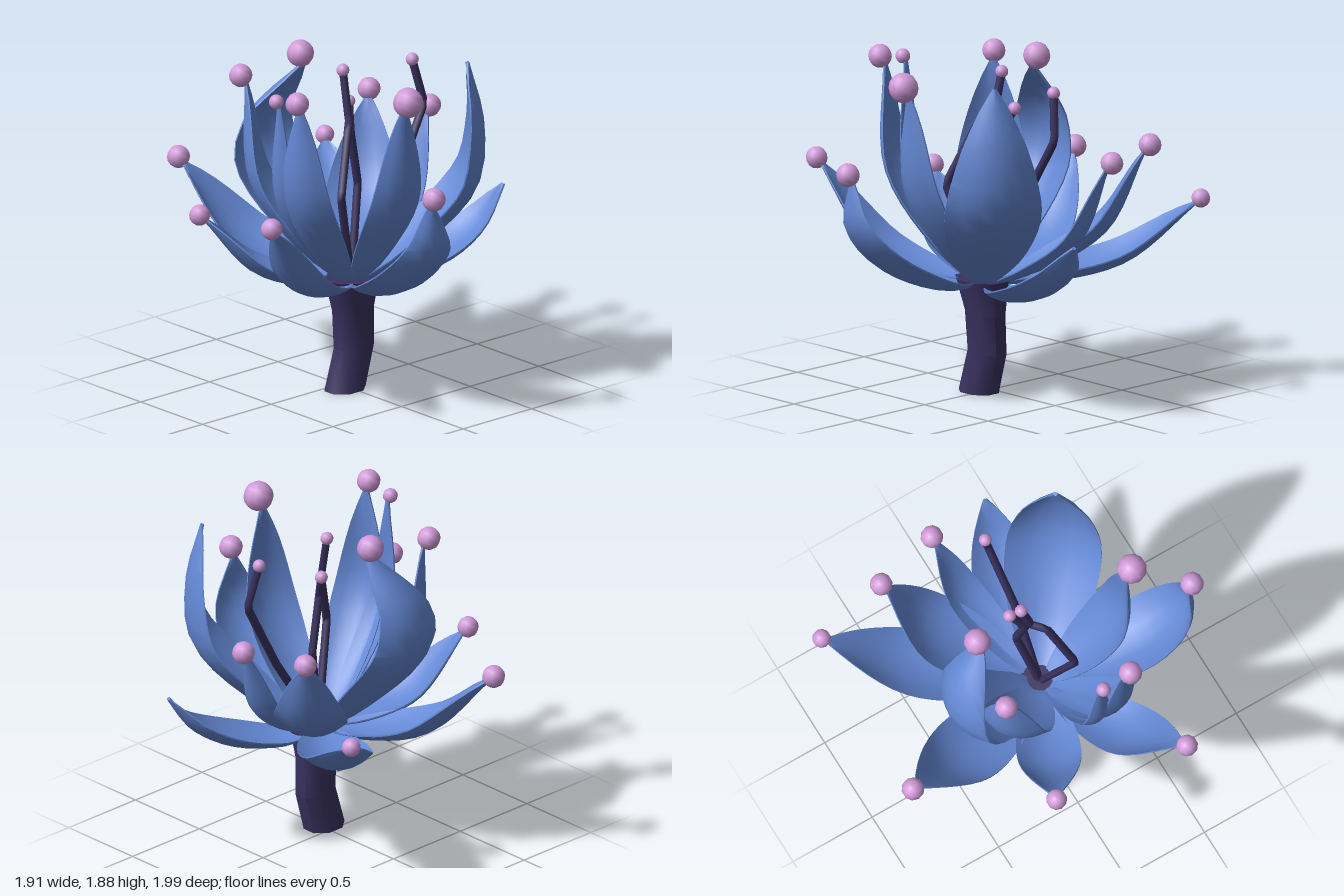
import * as THREE from 'three';
import { toCreasedNormals } from 'three/addons/utils/BufferGeometryUtils.js';

const blue = new THREE.MeshStandardMaterial({ color: 0x6488d4, side: THREE.DoubleSide });
const dark = new THREE.MeshStandardMaterial({ color: 0x3a3260 });
const pink = new THREE.MeshStandardMaterial({ color: 0xd09ad8 });
const heart = new THREE.Vector3(0.02, 0.6, 0.07);

// Skin a list of closed rings (counter-clockwise about the path) and cap both ends
function loft(rings) {
  const n = rings[0].length, last = rings.length - 1, index = [];
  const points = rings.flat();
  const middle = (ring) => ring.reduce((s, p) => s.add(p), new THREE.Vector3()).divideScalar(n);
  const a = points.push(middle(rings[0])) - 1;
  const b = points.push(middle(rings[last])) - 1;
  for (let j = 0; j < n; j++) {
    const k = (j + 1) % n;
    for (let i = 0; i < last; i++) {
      const p = i * n, q = p + n;
      index.push(p + j, p + k, q + j, p + k, q + k, q + j);
    }
    index.push(a, k, j, b, last * n + j, last * n + k);
  }
  const g = new THREE.BufferGeometry().setFromPoints(points);
  g.setIndex(index);
  return toCreasedNormals(g, 0.9);
}

// Cupped petal: a thin curved section swept from the heart to the tip.
// Bends are [outward share, height share, sideways shift] along the way.
function petalGeometry(tip, out, width, bends) {
  const across = new THREE.Vector3(out.z, 0, -out.x);
  const reach = Math.hypot(tip.x - heart.x, tip.z - heart.z);
  const curve = new THREE.CatmullRomCurve3([
    heart.clone().addScaledVector(out, 0.05),
    ...bends.map(([f, h, shift = 0]) => {
      const p = heart.clone().addScaledVector(out, f * reach).addScaledVector(across, shift);
      p.y += h * (tip.y - heart.y);
      return p;
    }),
    tip,
  ]);
  const columns = 6, rows = 14, rings = [];
  for (let i = 0; i <= rows; i++) {
    const u = i / rows;
    const centre = curve.getPointAt(u), t = curve.getTangentAt(u);
    const inward = t.clone().cross(across).normalize();
    const side = inward.clone().cross(t);
    const half = Math.max(0.012, width / 2 * (0.2 * (1 - u) + Math.sin(Math.PI * Math.min(u, 1)) ** 0.75));
    const point = (s, thick) => centre.clone().addScaledVector(side, s * half)
      .addScaledVector(inward, 0.43 * half * s * s + thick);
    const ring = [];
    for (let j = 0; j <= columns; j++) ring.push(point(j / columns * 2 - 1, 0));
    for (let j = columns; j >= 0; j--) {
      const s = j / columns * 2 - 1;
      ring.push(point(s, 0.008 + 0.014 * (1 - s * s)));
    }
    rings.push(ring);
  }
  return loft(rings);
}

// Petal families: shared bends, then each petal's end x, y, z, width and bead radius
const FAMILIES = [
  { name: 'spreadingPetal', bends: [[0.3, 0.02], [0.66, 0.25]], petals: [
    [-0.33, 1.14, -0.94, 0.38, 0.063], [0.7, 1.04, -0.9, 0.36, 0.052], [-0.76, 1.07, -0.29, 0.32, 0.058],
    [-0.9, 1.21, 0.45, 0.3, 0.06]] },
  { name: 'droopingPetal', bends: [[0.22, -0.1], [0.6, 0.1], [0.84, 0.46]], petals: [[0.95, 1, 0.28, 0.34, 0]] },
  { name: 'archedPetal', bends: [[0.34, 0.01], [0.8, 0.27], [1.02, 0.62]], petals: [[-0.15, 1.33, 0.93, 0.37, 0.065]] },
  { name: 'raisedPetal', bends: [[0.38, 0.13], [0.76, 0.41]], petals: [
    [0.69, 1.4, -0.53, 0.36, 0.063], [0.79, 1.38, -0.15, 0.2, 0.063]] },
  { name: 'uprightPetal', bends: [[0.42, 0.13], [0.95, 0.5]], petals: [
    [-0.38, 1.76, -0.38, 0.36, 0.064], [-0.57, 1.81, 0.29, 0.28, 0.065],
    [-0.57, 1.78, 0.12, 0.15, 0.041], [-0.05, 1.78, 0.61, 0.3, 0.083]] },
  { name: 'hookedPetal', bends: [[0.78, 0.16, 0.06], [1.68, 0.5, 0.12], [1.66, 0.74, 0.1]], petals: [[0.01, 1.81, -0.33, 0.44, 0.075]] },
  { name: 'tallPetal', bends: [[0.45, 0.11], [1.07, 0.43], [1.13, 0.72]], petals: [[0.52, 1.85, 0.47, 0.48, 0]] },
];

// Joints of the angular filaments above the heart
const STAMENS = [
  [[0.32, 1.08, 0.09], [0.56, 1.5, 0.06], [0.51, 1.75, 0.02]],
  [[0.14, 1.12, -0.01], [0.07, 1.43, 0.01], [0.12, 1.58, -0.06]],
  [[-0.16, 1.15, 0.19], [-0.02, 1.49, 0.09], [0.04, 1.5, 0.03], [0.05, 1.78, -0.03]],
];

export function createModel() {
  const model = new THREE.Group();
  model.name = 'flower';
  const add = (name, geometry, material) => {
    const mesh = new THREE.Mesh(geometry, material);
    mesh.name = name;
    model.add(mesh);
    return mesh;
  };
  const addBead = (p, r) => add('bead', new THREE.SphereGeometry(r, 10, 8), pink).position.copy(p);

  // Crooked stem, flaring under the petals: x, y, z, radius
  const stem = [[-0.025, 0, 0.07, 0.125], [0.04, 0.23, 0.07, 0.122], [0.03, 0.45, 0.075, 0.127], [0.015, 0.64, 0.085, 0.168]];
  add('stem', loft(stem.map(([x, y, z, r]) => Array.from({ length: 8 }, (_, j) => {
    const a = (j + 0.5) / 8 * Math.PI * 2;
    return new THREE.Vector3(x + Math.cos(a) * r, y, z - Math.sin(a) * r * 0.82);
  }))), dark);

  // Petals, each tip tucked into its bead
  for (const { name, bends, petals } of FAMILIES) {
    for (const [x, y, z, width, r] of petals) {
      const end = new THREE.Vector3(x, y, z);
      const out = end.clone().sub(heart).setY(0).normalize();
      const tip = end.clone().addScaledVector(out, -0.3 * r);
      tip.y -= 0.5 * r;
      add(name, petalGeometry(tip, out, width, bends), blue);
      if (r) addBead(end, r);
    }
  }

  // Stamens with small beads
  for (const joints of STAMENS) {
    const points = [heart, ...joints.map((p) => new THREE.Vector3(...p))];
    const path = new THREE.CurvePath();
    for (let i = 1; i < points.length; i++) path.add(new THREE.LineCurve3(points[i - 1], points[i]));
    add('stamen', new THREE.TubeGeometry(path, 28, 0.023, 6), dark);
    addBead(points[points.length - 1], 0.036);
  }
  return model;
}
